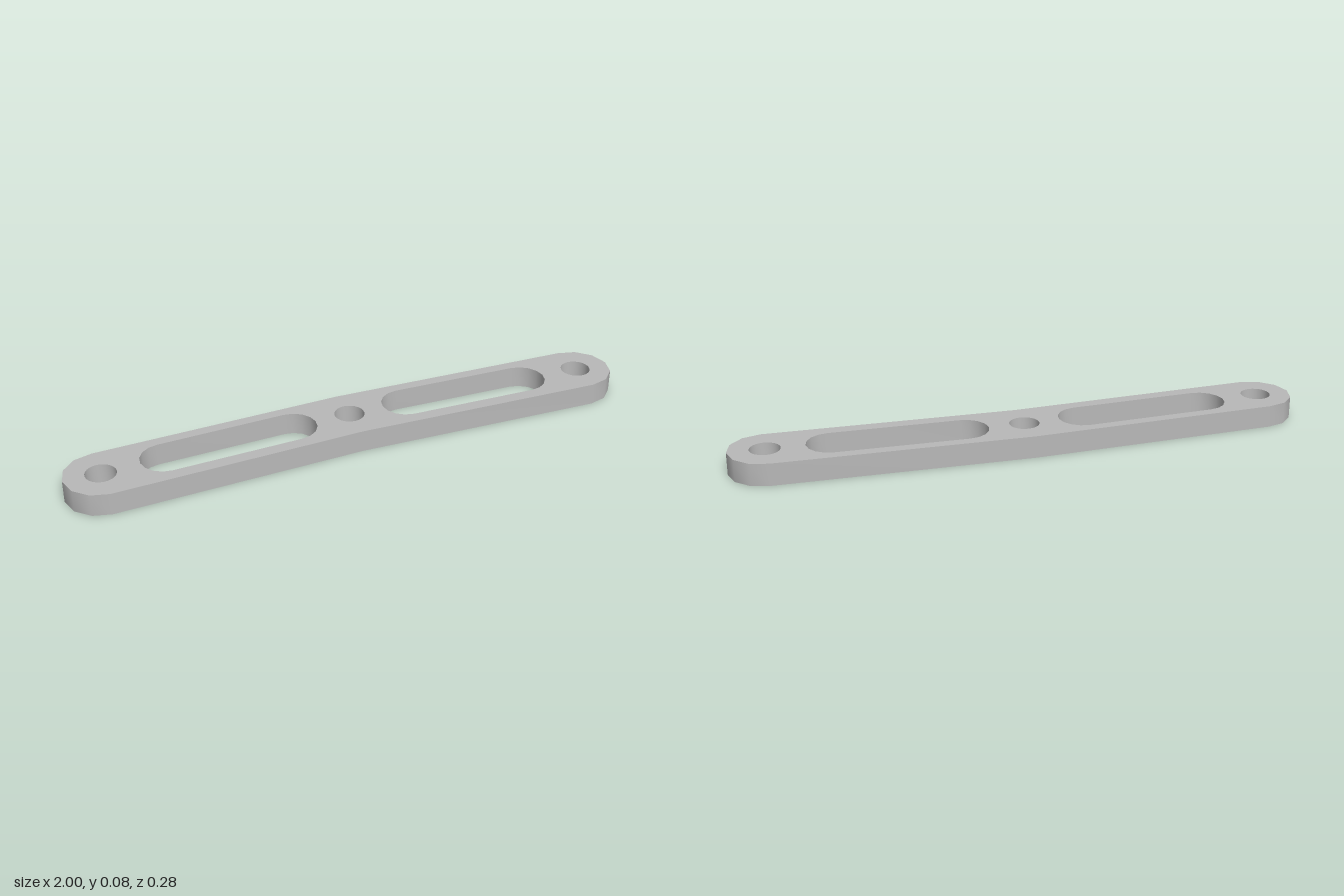
import * as THREE from 'three';
import { toCreasedNormals } from 'three/addons/utils/BufferGeometryUtils.js';

const THICKNESS = 0.078;
const TILT = 0.033; // each arm leans slightly forward from the middle
const midZ = (x) => -0.0175 + TILT * Math.abs(x); // centre line of the bent bar

// Points of an arc in plan, as (x, -z)
function arc(cx, cz, r, from, to, steps) {
  const pts = [];
  for (let i = 0; i <= steps; i++) {
    const a = from + ((to - from) * i) / steps;
    pts.push(new THREE.Vector2(cx + r * Math.cos(a), -cz + r * Math.sin(a)));
  }
  return pts;
}

const circleHole = (x, z, r) => new THREE.Path(arc(x, z, r, 0, Math.PI * 2, 24).slice(0, -1));

// Rounded slot along one arm; side is 1 or -1
function slot(side) {
  const r = 0.083, h = Math.PI / 2, lean = -TILT * side;
  const inner = 0.208 * side, outer = 0.66 * side;
  const [right, left] = side > 0 ? [outer, inner] : [inner, outer];
  const z = (x) => midZ(x) - 0.003;
  return new THREE.Path([
    ...arc(right, z(right), r, -h + lean, h + lean, 8),
    ...arc(left, z(left), r, h + lean, 3 * h + lean, 8),
  ]);
}

export function createModel() {
  const group = new THREE.Group();
  group.name = 'slottedLinkBar';
  const grey = new THREE.MeshStandardMaterial({ color: 0xb8b8b8 });
  grey.name = 'grey';

  // Bent bar outline with faceted round ends
  const h = Math.PI / 2, endX = 0.875, endR = 0.125, endZ = 0.012;
  const outline = new THREE.Shape([
    ...arc(endX, endZ, endR, -h, h, 6),
    new THREE.Vector2(0, 0.14),
    ...arc(-endX, endZ, endR, h, 3 * h, 6),
    new THREE.Vector2(0, -0.106),
  ]);

  // Pivot holes and lightening slots
  for (const x of [-endX, 0, endX]) outline.holes.push(circleHole(x, midZ(x), 0.052));
  for (const side of [-1, 1]) outline.holes.push(slot(side));

  const flat = new THREE.ExtrudeGeometry(outline, { depth: THICKNESS, bevelEnabled: false });
  flat.rotateX(-Math.PI / 2);
  const bar = new THREE.Mesh(toCreasedNormals(flat, 0.62), grey);
  bar.name = 'bar';
  group.add(bar);
  return group;
}
